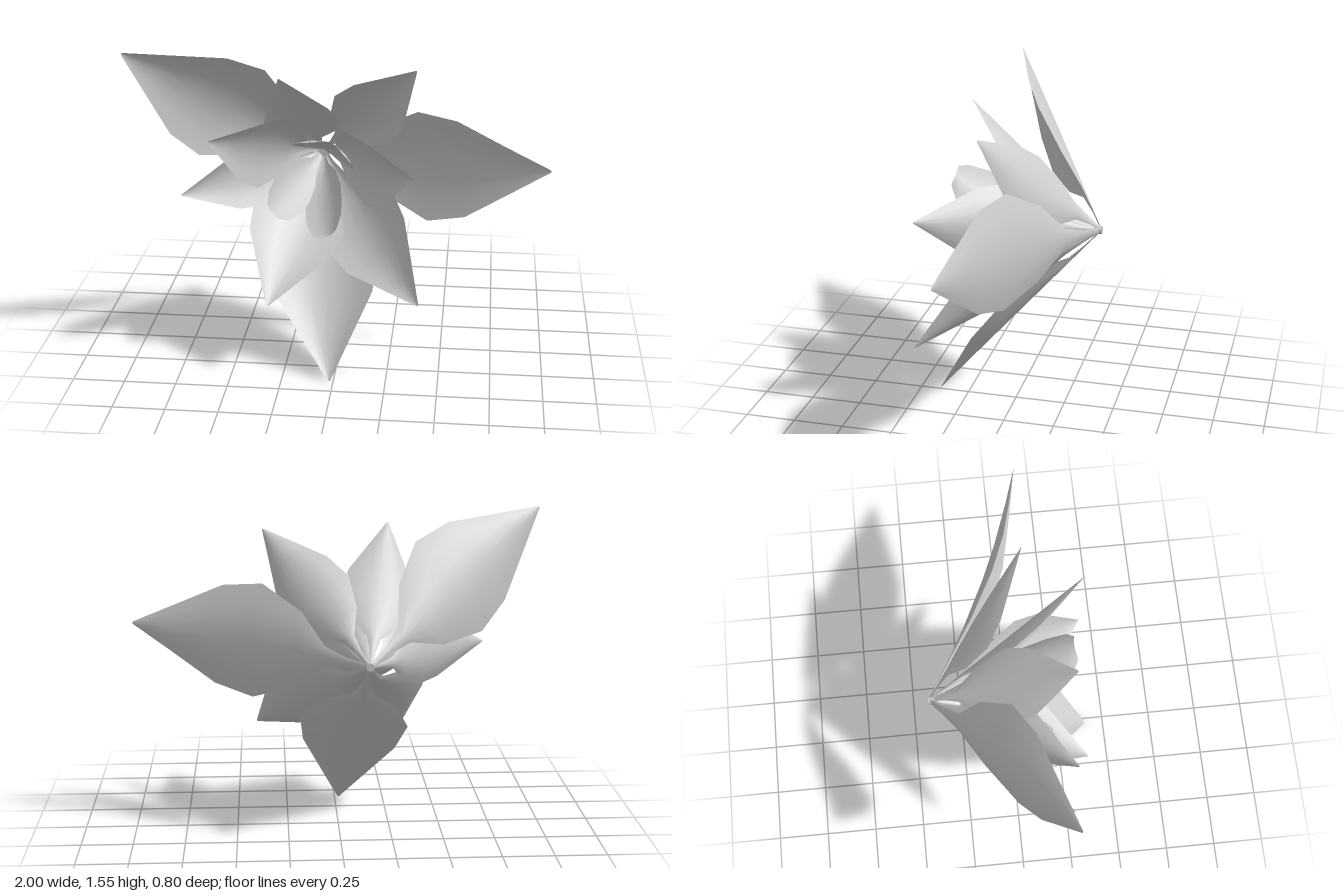
import * as THREE from 'three';

const BASE = new THREE.Vector3(-0.13, 0.9, -0.4);

// Outline rows: [position along the petal, share of the half width]
const POINTED = [[0, 0.05], [0.1, 0.07], [0.2, 0.18], [0.32, 0.66], [0.5, 1], [0.66, 0.87], [0.84, 0.42], [1, 0.02]];
const BLUNT = [[0, 0.08], [0.1, 0.1], [0.22, 0.25], [0.42, 0.75], [0.62, 1], [0.8, 0.98], [0.94, 0.8], [1, 0.45]];
const COLUMNS = 6;

// A thin cupped blade from the shared base to its tip
function petalGeometry({ tip, half, bow = 0, cup = 0.33, roll = 0, blunt = false }) {
  const span = new THREE.Vector3(...tip).sub(BASE);
  const dir = span.clone().normalize();
  const flat = new THREE.Vector3(-dir.y, dir.x, 0).normalize();
  const up = dir.clone().cross(flat);
  const side = flat.clone().multiplyScalar(Math.cos(roll)).addScaledVector(up, Math.sin(roll));
  const normal = dir.clone().cross(side);
  const rows = blunt ? BLUNT : POINTED;
  const positions = [];
  const index = [];
  rows.forEach(([t, share], r) => {
    const width = half * share;
    for (let c = 0; c <= COLUMNS; c++) {
      const s = (c / COLUMNS) * 2 - 1;
      const lift = cup * width * s * s + bow * Math.sin(Math.PI * t);
      const p = BASE.clone().addScaledVector(span, t)
        .addScaledVector(side, width * s)
        .addScaledVector(normal, lift);
      positions.push(p.x, p.y, p.z);
      if (r > 0 && c > 0) {
        const d = r * (COLUMNS + 1) + c;
        const b = d - COLUMNS - 1;
        index.push(b - 1, d - 1, b, b, d - 1, d);
      }
    }
  });
  const geometry = new THREE.BufferGeometry();
  geometry.setAttribute('position', new THREE.Float32BufferAttribute(positions, 3));
  geometry.setIndex(index);
  geometry.computeVertexNormals();
  return geometry;
}

const PETALS = {
  // Large outer ring
  outerPetalUpperRight: { tip: [-1, 1.55, 0.21], half: 0.275, cup: 0.3 },
  outerPetalLeft: { tip: [1, 1.01, 0.12], half: 0.28, bow: 0.05, cup: 0.2 },
  outerPetalBottom: { tip: [-0.02, 0, 0.4], half: 0.27 },
  // Middle ring
  middlePetalLowerRight: { tip: [-0.32, 0.37, 0.37], half: 0.235 },
  middlePetalLowerLeft: { tip: [0.4, 0.42, 0.4], half: 0.23 },
  middlePetalRight: { tip: [-0.74, 0.87, 0.24], half: 0.165 },
  middlePetalUpperLeft: { tip: [0.36, 1.47, 0.09], half: 0.18 },
  middlePetalTop: { tip: [-0.26, 1.47, 0.28], half: 0.18 },
  // Inner ring
  innerPetalRight: { tip: [-0.6, 1.15, 0.26], half: 0.205 },
  innerPetalLeft: { tip: [0.37, 1.05, 0.4], half: 0.2 },
  // Small blunt heart petals
  heartPetalRight: { tip: [-0.32, 0.78, 0.18], half: 0.11, blunt: true },
  heartPetalBottom: { tip: [-0.03, 0.67, 0.17], half: 0.12, roll: 0.35, blunt: true },
  heartPetalTop: { tip: [-0.02, 1.18, 0.3], half: 0.16, cup: 0.4, blunt: true },
};

export function createModel() {
  const flower = new THREE.Group();
  flower.name = 'flower';
  const petalGrey = new THREE.MeshStandardMaterial({ color: 0xcccccc, side: THREE.DoubleSide });
  petalGrey.name = 'petalGrey';

  for (const [name, spec] of Object.entries(PETALS)) {
    const petal = new THREE.Mesh(petalGeometry(spec), petalGrey);
    petal.name = name;
    flower.add(petal);
  }

  // Little knot where all petals meet
  const knot = new THREE.Mesh(new THREE.CylinderGeometry(0.025, 0.02, 0.04, 8), petalGrey);
  knot.name = 'petalKnot';
  knot.rotation.x = Math.PI / 2;
  knot.position.copy(BASE).z += 0.02;
  flower.add(knot);

  return flower;
}
